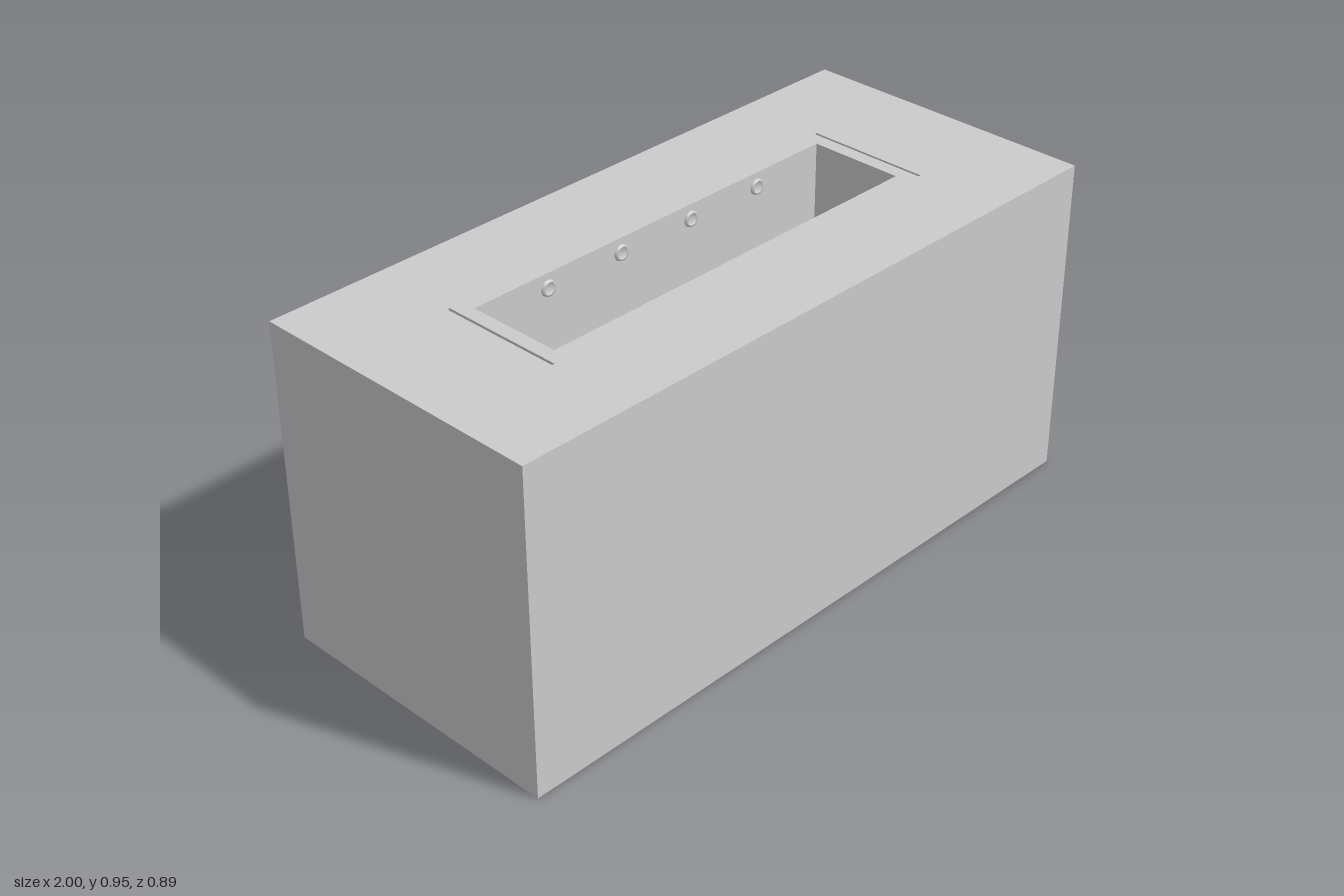
import * as THREE from 'three';

const W = 2, H = 0.95, D = 0.89;             // block
const BW = 1.24, BD = 0.28, BH = 0.6;        // basin
const SLOT_X = 0.665, SLOT_W = 0.008, SLOT_L = 0.37, SLOT_H = 0.03;

const material = new THREE.MeshStandardMaterial({ color: 0xcccccc });

// Box without its top face; inward turns the faces to the inside
function openBox(w, h, d, inward) {
  const geo = new THREE.BoxGeometry(w, h, d);
  const index = Array.from(geo.index.array);
  index.splice(12, 6);
  if (inward) {
    index.reverse();
    const n = geo.attributes.normal;
    for (let i = 0; i < n.array.length; i++) n.array[i] *= -1;
  }
  geo.setIndex(index);
  geo.clearGroups();
  return geo;
}

function rectangle(Type, cx, w, d) {
  return new Type([[-1, -1], [1, -1], [1, 1], [-1, 1]].map(
    ([sx, sy]) => new THREE.Vector2(cx + sx * w / 2, sy * d / 2)));
}

export function createModel() {
  const model = new THREE.Group();
  const add = (name, geo, x = 0, y = 0, z = 0, parent = model) => {
    const mesh = new THREE.Mesh(geo, material);
    mesh.name = name;
    mesh.position.set(x, y, z);
    parent.add(mesh);
    return mesh;
  };

  // Block sides and underside
  add('blockSides', openBox(W, H, D, false), 0, H / 2);

  // Top surface with the basin opening and two narrow slots
  const top = rectangle(THREE.Shape, 0, W, D);
  top.holes.push(rectangle(THREE.Path, 0, BW, BD));
  for (const s of [-1, 1]) top.holes.push(rectangle(THREE.Path, s * SLOT_X, SLOT_W, SLOT_L));
  add('topSurface', new THREE.ShapeGeometry(top).rotateX(-Math.PI / 2), 0, H);

  // Basin and slots sunk into the block
  add('basin', openBox(BW, BH, BD, true), 0, H - BH / 2);
  for (const s of [-1, 1]) {
    add(s > 0 ? 'leftSlot' : 'rightSlot', openBox(SLOT_W, SLOT_H, SLOT_L, true), s * SLOT_X, H - SLOT_H / 2);
  }

  // Round wall fittings: a raised rim around a recessed lens
  const profile = [[0, 0.002], [0.013, 0.002], [0.015, 0.007], [0.021, 0.007], [0.023, 0]]
    .map(([r, h]) => new THREE.Vector2(r, h)).reverse();
  const fittingGeo = new THREE.LatheGeometry(profile, 24).rotateX(Math.PI / 2);
  const fittingMaterial = material.clone();
  fittingMaterial.side = THREE.DoubleSide;
  const fitting = (name, x, z, turn) => {
    const mesh = add(name, fittingGeo, x, H - 0.042, z);
    mesh.material = fittingMaterial;
    mesh.rotation.y = turn;
  };
  for (const x of [-0.38, -0.127, 0.127, 0.38]) {
    fitting('backWallFitting', x, -BD / 2, 0);
    fitting('frontWallFitting', x, BD / 2, Math.PI);
  }
  fitting('endWallFitting', -BW / 2, 0, Math.PI / 2);

  return model;
}
